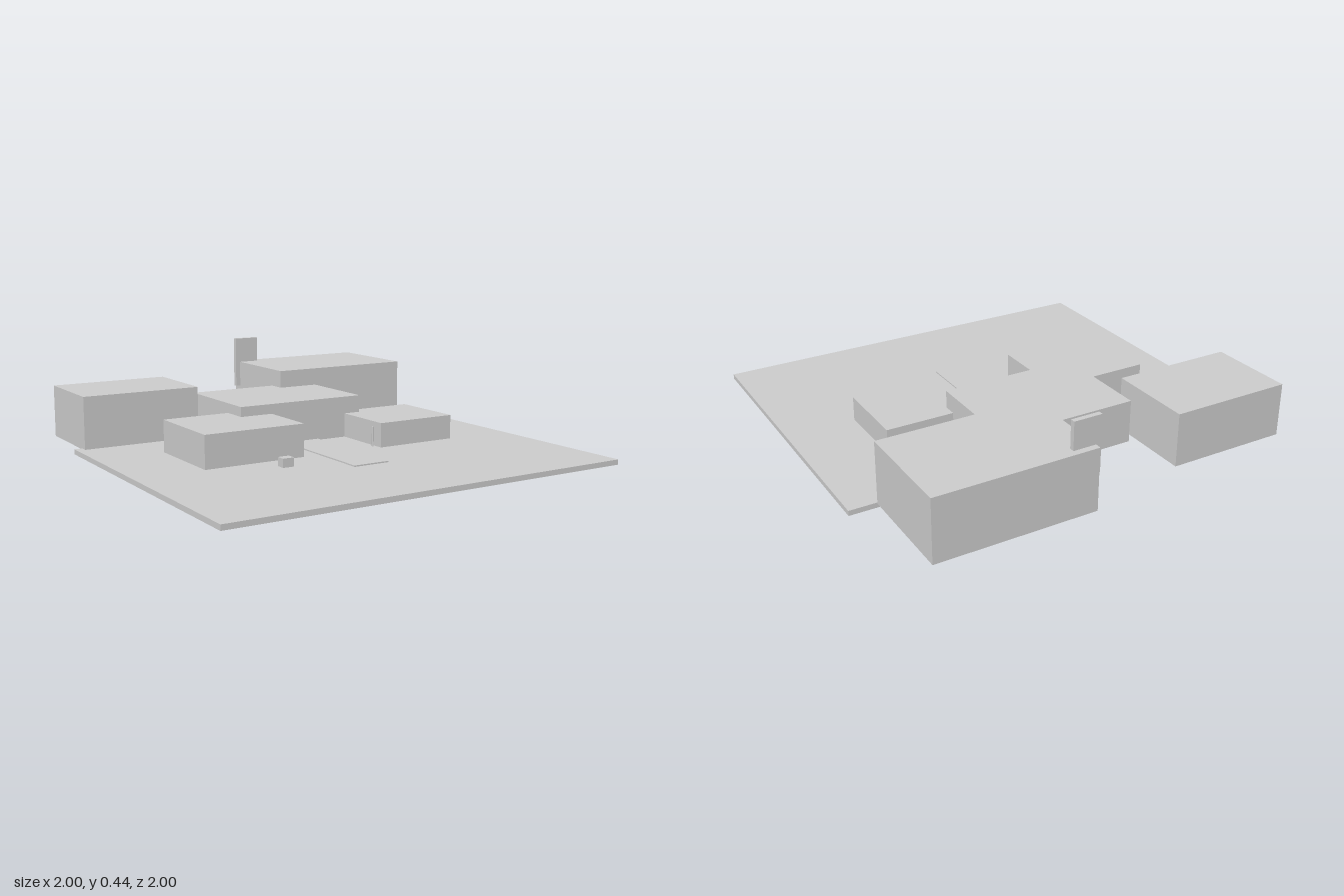
import * as THREE from 'three';

const material = new THREE.MeshStandardMaterial({ color: 0xcccccc, flatShading: true });

export function createModel() {
  const model = new THREE.Group();

  const add = (name, geometry, x, y, z) => {
    const mesh = new THREE.Mesh(geometry, material);
    mesh.name = name;
    mesh.position.set(x, y, z);
    model.add(mesh);
    return mesh;
  };

  // Box given by its extents on each axis
  const block = (name, [x0, x1], [y0, y1], [z0, z1]) =>
    add(name, new THREE.BoxGeometry(x1 - x0, y1 - y0, z1 - z0),
      (x0 + x1) / 2, (y0 + y1) / 2, (z0 + z1) / 2);

  // Ground and the path leading to the middle building
  block('ground', [-1, 1], [0, 0.024], [-0.5, 1]);
  block('path', [-0.09, 0.09], [0.02, 0.03], [-0.1, 0.5]);

  // Buildings: x range, top, z range
  const base = 0.02;
  const buildings = [
    ['centralBuilding', [-0.335, 0.332], 0.225, [-0.59, -0.085]],
    ['frontRightBuilding', [-0.67, -0.17], 0.178, [-0.215, 0.21]],
    ['frontLeftBuilding', [0.245, 0.662], 0.141, [-0.15, 0.226]],
    ['backRightBuilding', [-0.962, -0.375], 0.275, [-0.877, -0.46]],
    ['backLeftBuilding', [0.122, 0.872], 0.312, [-1, -0.502]],
  ];
  for (const [name, x, top, z] of buildings) block(name, x, [base, top], z);

  // Sign board set through the side of the tallest building
  block('signBoard', [0.097, 0.23], [0.18, 0.442], [-0.97, -0.947]);

  // Crates
  block('frontCrate', [-0.365, -0.31], [base, 0.065], [0.31, 0.354]);
  block('rearCrate', [-0.532, -0.477], [base, 0.065], [-0.277, -0.235]);

  // Thin post beside the front left building
  add('post', new THREE.CylinderGeometry(0.005, 0.005, 0.1, 8), 0.23, 0.07, 0.18);

  // Small faceted figure in front of the central building
  const profile = [[0, 0.022], [0.014, 0.022], [0.023, 0.045], [0.022, 0.06], [0.012, 0.068]]
    .map(([r, y]) => new THREE.Vector2(r, y));
  const body = add('figureBody', new THREE.LatheGeometry(profile, 8), -0.085, 0, -0.05);
  body.scale.z = 1.2;
  add('figureHead', new THREE.SphereGeometry(0.014, 8, 6), -0.085, 0.073, -0.05);

  return model;
}
